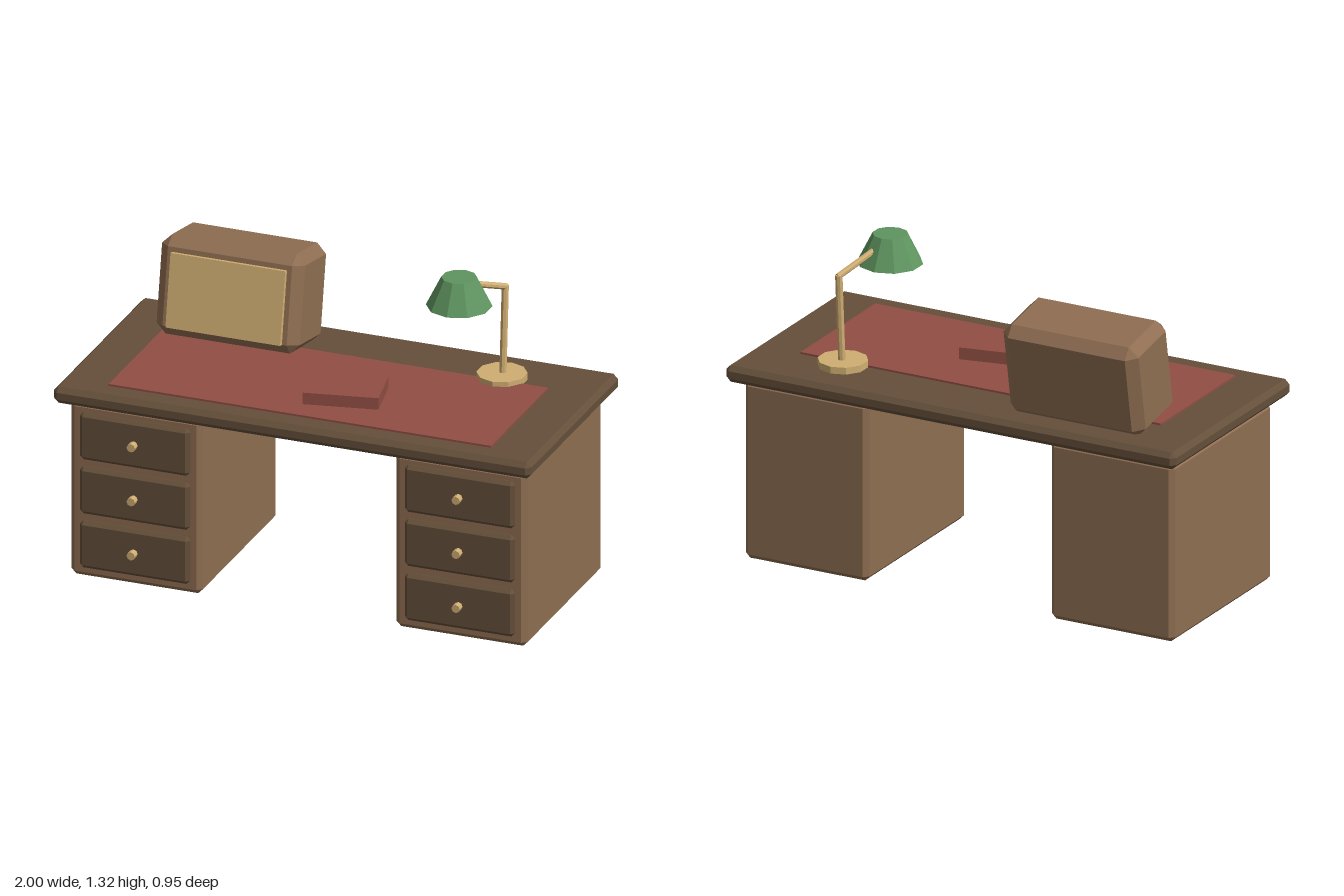
import * as THREE from 'three';
import { ConvexGeometry } from 'three/addons/geometries/ConvexGeometry.js';

const material = (name, color) => {
  const m = new THREE.MeshStandardMaterial({ color, flatShading: true });
  m.name = name;
  return m;
};

// Box with all edges cut at 45 degrees, centred on the origin
function chamferBox(w, h, d, c) {
  const points = [];
  for (const x of [-1, 1]) for (const y of [-1, 1]) for (const z of [-1, 1]) {
    const [a, b, e] = [w / 2, h / 2, d / 2];
    points.push(
      new THREE.Vector3(x * a, y * (b - c), z * (e - c)),
      new THREE.Vector3(x * (a - c), y * b, z * (e - c)),
      new THREE.Vector3(x * (a - c), y * (b - c), z * e));
  }
  return new ConvexGeometry(points);
}

function add(parent, name, geometry, mat, x = 0, y = 0, z = 0) {
  const mesh = new THREE.Mesh(geometry, mat);
  mesh.name = name;
  mesh.position.set(x, y, z);
  parent.add(mesh);
  return mesh;
}

// Round rod between two points
function addRod(parent, name, from, to, radius, mat) {
  const a = new THREE.Vector3(...from), b = new THREE.Vector3(...to);
  const dir = b.clone().sub(a);
  const rod = add(parent, name, new THREE.CylinderGeometry(radius, radius, dir.length(), 8), mat);
  rod.position.copy(a).add(b).multiplyScalar(0.5);
  rod.quaternion.setFromUnitVectors(new THREE.Vector3(0, 1, 0), dir.normalize());
}

export function createModel() {
  const model = new THREE.Group();
  model.name = 'writingDesk';
  const lightWood = material('lightWood', 0x8f6e52);
  const darkWood = material('darkWood', 0x644f3a);
  const red = material('redLeather', 0x924f44);
  const green = material('greenEnamel', 0x5f9560);
  const brass = material('brass', 0xd0ae72);

  // Desktop and writing pad
  add(model, 'desktop', chamferBox(2, 0.07, 0.95, 0.02), darkWood, 0, 0.785, 0);
  add(model, 'writingPad', new THREE.BoxGeometry(1.6, 0.012, 0.6), red, 0, 0.822, 0.08);

  // Drawer pedestals
  const drawerGeo = chamferBox(0.46, 0.2, 0.04, 0.015);
  const knobGeo = new THREE.CylinderGeometry(0.0175, 0.0175, 0.04, 8).rotateX(Math.PI / 2);
  for (const side of [-1, 1]) {
    const pedestal = new THREE.Group();
    pedestal.name = side > 0 ? 'leftPedestal' : 'rightPedestal';
    pedestal.position.x = side * 0.68;
    model.add(pedestal);
    add(pedestal, 'cabinet', chamferBox(0.55, 0.74, 0.8, 0.02), lightWood, 0, 0.37, 0);
    for (let i = 0; i < 3; i++) {
      const y = 0.143 + i * 0.23;
      add(pedestal, 'drawer', drawerGeo, darkWood, 0, y, 0.4);
      add(pedestal, 'knob', knobGeo, brass, 0, y, 0.43);
    }
  }

  // Tilted cabinet with a pale front panel
  const cabinet = new THREE.Group();
  cabinet.name = 'tiltedCabinet';
  cabinet.position.set(-0.5, 1.022, -0.26);
  cabinet.rotation.x = -0.18;
  model.add(cabinet);
  add(cabinet, 'cabinetBody', chamferBox(0.6, 0.4, 0.3, 0.04), lightWood);
  add(cabinet, 'frontPanel', new THREE.BoxGeometry(0.48, 0.3, 0.03), brass, 0, -0.01, 0.155);

  // Book
  const book = add(model, 'book', new THREE.BoxGeometry(0.3, 0.05, 0.215), red, 0.098, 0.852, 0.145);
  book.rotation.y = 0.2;

  // Desk lamp
  const lamp = new THREE.Group();
  lamp.name = 'lamp';
  model.add(lamp);
  add(lamp, 'lampBase', new THREE.CylinderGeometry(0.1, 0.1, 0.03, 10), brass, 0.595, 0.833, -0.25);
  addRod(lamp, 'lampPost', [0.597, 0.83, -0.255], [0.597, 1.207, -0.28], 0.015, brass);
  addRod(lamp, 'lampArm', [0.6, 1.2, -0.283], [0.5, 1.295, -0.05], 0.013, brass);
  add(lamp, 'lampShade', new THREE.CylinderGeometry(0.07, 0.13, 0.12, 10), green, 0.497, 1.261, -0.047);
  add(lamp, 'bulb', new THREE.SphereGeometry(0.05, 10, 8), brass, 0.497, 1.222, -0.047);

  return model;
}
